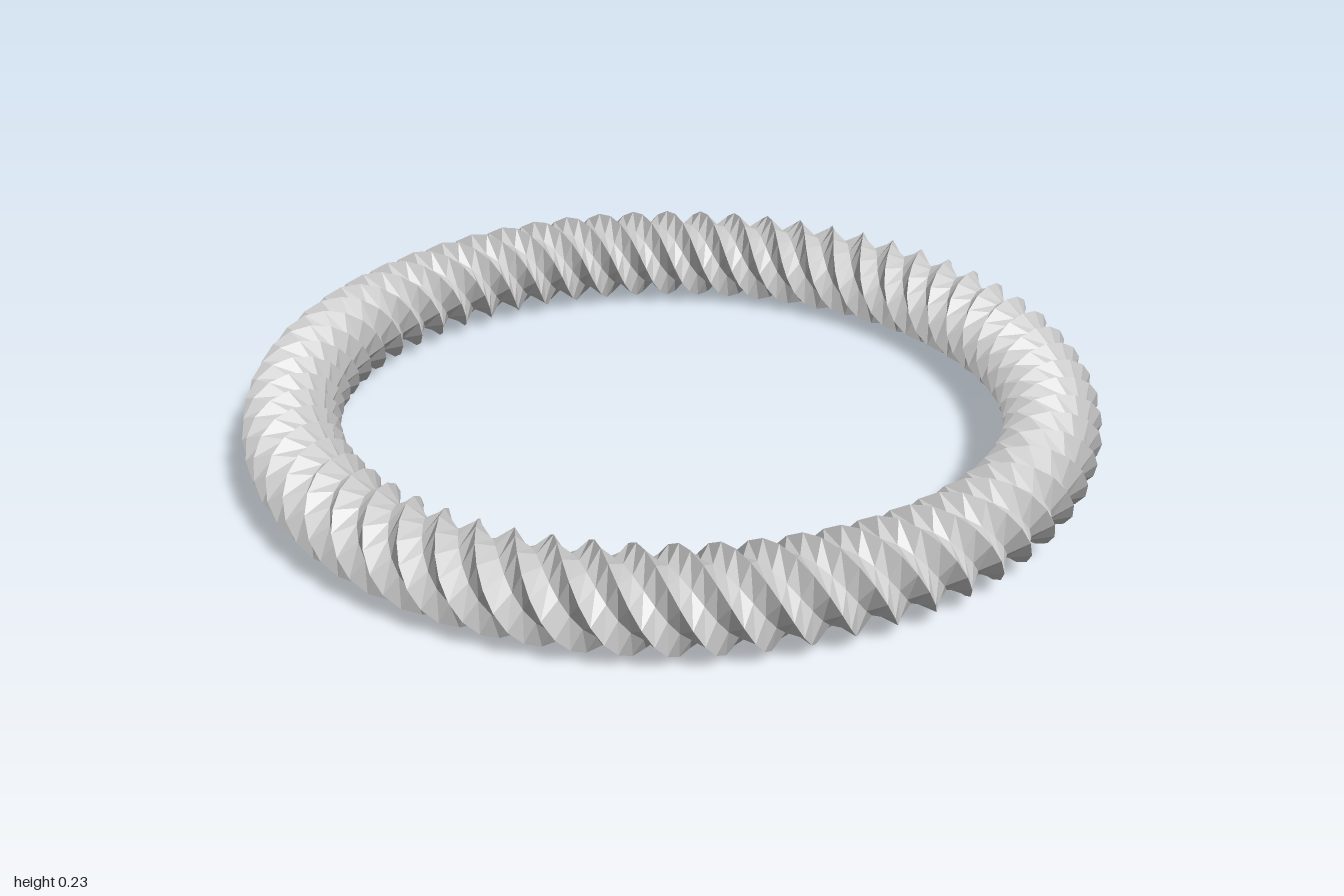
import * as THREE from 'three';

// Square bar bent into a ring and twisted by a quarter turn per ridge,
// so its four corners wind round the tube as helical ridges.
const RIDGES = 63, STEPS_PER_RIDGE = 4, SIDES = 8;
const RING_RADIUS = 0.886, TUBE_RADIUS = 0.114, CENTRE_Y = 0.114;

function twistedBar() {
  const positions = [];
  const index = [];
  const rings = RIDGES * STEPS_PER_RIDGE;

  // square cross-sections (corners and side middles), each turned a little further;
  // the last one repeats the first, rotated by whole quarter turns
  for (let i = 0; i <= rings; i++) {
    const t = Math.PI / 2 + (i / rings) * Math.PI * 2;
    const twist = -(i / STEPS_PER_RIDGE) * (Math.PI / 2);
    for (let j = 0; j < SIDES; j++) {
      const a = twist + (j / SIDES) * Math.PI * 2;
      const r = TUBE_RADIUS * (j % 2 ? Math.SQRT1_2 : 1);
      const rho = RING_RADIUS + r * Math.cos(a);
      positions.push(rho * Math.sin(t), CENTRE_Y + r * Math.sin(a), rho * Math.cos(t));
    }
  }

  // skin between neighbouring cross-sections
  for (let i = 0; i < rings; i++) {
    for (let j = 0; j < SIDES; j++) {
      const k = (j + 1) % SIDES;
      const a = i * SIDES + j, d = i * SIDES + k;
      const b = a + SIDES, c = d + SIDES;
      index.push(a, b, c, a, c, d);
    }
  }

  const geometry = new THREE.BufferGeometry();
  geometry.setAttribute('position', new THREE.Float32BufferAttribute(positions, 3));
  geometry.setIndex(index);
  const flat = geometry.toNonIndexed();
  flat.computeVertexNormals();
  return flat;
}

export function createModel() {
  const group = new THREE.Group();
  group.name = 'twistedRing';
  const material = new THREE.MeshStandardMaterial({ color: 0xcccccc, flatShading: true });
  const ring = new THREE.Mesh(twistedBar(), material);
  ring.name = 'twistedBand';
  group.add(ring);
  return group;
}
